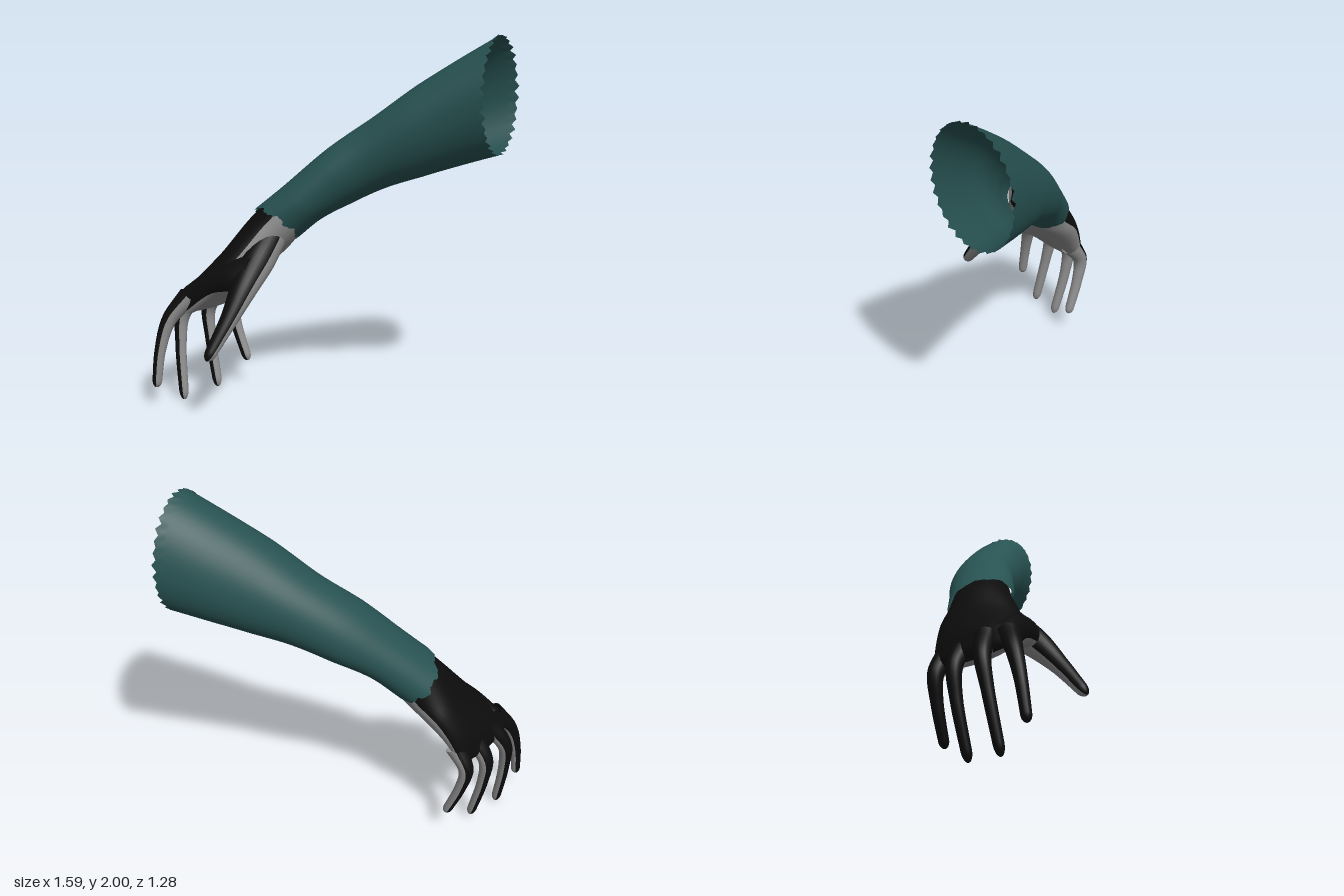
import * as THREE from 'three';

const V = (p) => new THREE.Vector3(...p);
const paint = (color) => new THREE.MeshStandardMaterial({ color, roughness: 0.9, side: THREE.DoubleSide });
const TEAL = paint(0x285252), BLACK = paint(0x0c0c0c), GREY = paint(0x8c8c8c);

// Skin through stations [centre, a, b]: each ring is centre + a cos + b sin.
// "cap" is the share of the length that rounds off to a closed tip.
function loft(stations, { sides = 24, rows = 24, cap = 0, edit } = {}) {
  const [cs, as, bs] = [0, 1, 2].map((k) => new THREE.CatmullRomCurve3(stations.map((s) => V(s[k]))));
  const rings = [];
  for (let i = 0; i <= rows; i++) rings.push([(1 - cap) * i / rows, 1]);
  for (let i = 1; cap && i <= 6; i++) {
    const f = i / 6 * Math.PI / 2;
    rings.push([1 - cap + cap * Math.sin(f), Math.max(Math.cos(f), 0.001)]);
  }
  const pos = [], back = [], palm = [];
  rings.forEach(([u, s], i) => {
    const c = cs.getPoint(u), a = as.getPoint(u), b = bs.getPoint(u);
    for (let j = 0; j < sides; j++) {
      const t = j / sides * Math.PI * 2;
      const p = c.clone().addScaledVector(a, s * Math.cos(t)).addScaledVector(b, s * Math.sin(t));
      if (edit) edit(p, i, j, rings.length - 1);
      pos.push(p.x, p.y, p.z);
      if (i === rings.length - 1) continue;
      const k = i * sides + j, n = i * sides + (j + 1) % sides;
      (j < sides / 2 ? back : palm).push(k, n, k + sides, n, n + sides, k + sides);
    }
  });
  const geometry = new THREE.BufferGeometry();
  geometry.setAttribute('position', new THREE.Float32BufferAttribute(pos, 3));
  geometry.setIndex([...back, ...palm]);
  geometry.computeVertexNormals();
  return { geometry, back, palm };
}

// Black back half and grey palm half sharing the same smooth normals
function twoTone(name, { geometry, back, palm }) {
  const group = new THREE.Group();
  group.name = name;
  for (const [side, index, material] of [['Back', back, BLACK], ['Inside', palm, GREY]]) {
    const half = geometry.clone();
    half.setIndex(index);
    const mesh = new THREE.Mesh(half, material);
    mesh.name = name + side;
    group.add(mesh);
  }
  return group;
}

// Stations for a round finger; "out" points toward the back of the hand
function fingerStations(points, radii, out) {
  const curve = new THREE.CatmullRomCurve3(points.map(V));
  return points.map((p, i) => {
    const t = curve.getTangent(i / (points.length - 1));
    const b = V(out).addScaledVector(t, -V(out).dot(t)).normalize();
    const a = b.clone().cross(t);
    return [p, a.multiplyScalar(radii[i]).toArray(), b.multiplyScalar(radii[i]).toArray()];
  });
}

export function createModel() {
  const model = new THREE.Group();
  model.name = 'glovedArm';

  // Hollow sleeve with a ragged upper rim and an uneven wrist hem
  const sleeve = loft([
    [[0.78, 1.69, -0.41], [0, 0, 0.235], [0, 0.31, 0.02]],
    [[0.59, 1.598, -0.345], [0, 0, 0.224], [0, 0.28, 0.015]],
    [[0.4, 1.498, -0.275], [0, 0, 0.212], [-0.01, 0.243, 0.01]],
    [[0.2, 1.38, -0.205], [0, 0, 0.195], [-0.03, 0.19, 0]],
    [[0.005, 1.25, -0.115], [0.02, 0.02, 0.182], [-0.055, 0.15, 0]],
    [[-0.17, 1.105, -0.02], [0.04, 0.04, 0.163], [-0.1, 0.085, 0]],
    [[-0.3, 0.985, 0.04], [0.06, 0.08, 0.142], [-0.13, 0.055, 0]],
  ], {
    sides: 64, rows: 48,
    edit(p, i, j, last) {
      if (i === 0) p.x += (j % 2 ? 0.009 : -0.011) + 0.004 * Math.sin(j * 2.3);
      if (i === last) p.addScaledVector(V([-0.7, -0.65, 0.3]), 0.012 * Math.sin(j * 0.8) + 0.006 * Math.sin(j * 2.1));
    },
  });
  const sleeveMesh = new THREE.Mesh(sleeve.geometry, TEAL);
  sleeveMesh.name = 'sleeve';
  model.add(sleeveMesh);

  // Palm, from inside the sleeve to the finger roots
  model.add(twoTone('palm', loft([
    [[-0.24, 1.05, 0.015], [0.05, 0.06, 0.13], [-0.1, 0.06, 0]],
    [[-0.32, 0.95, 0.055], [0.05, 0.06, 0.145], [-0.115, 0.06, 0]],
    [[-0.455, 0.785, 0.125], [0.04, 0.01, 0.205], [-0.085, 0.065, 0.02]],
    [[-0.6, 0.625, 0.175], [-0.02, 0, 0.228], [-0.07, 0.045, 0.01]],
    [[-0.68, 0.5, 0.2], [-0.055, 0, 0.235], [-0.045, 0.015, 0.01]],
  ], { sides: 40, rows: 28, cap: 0.08 })));

  // Web of skin between thumb and index finger
  model.add(twoTone('thumbWeb', loft([
    [[-0.27, 0.78, 0.28], [0, -0.08, 0.08], [-0.02, 0.05, 0.05]],
    [[-0.37, 0.75, 0.31], [0, -0.07, 0.075], [-0.03, 0.05, 0.045]],
    [[-0.5, 0.7, 0.325], [0, -0.055, 0.065], [-0.04, 0.045, 0.035]],
    [[-0.65, 0.59, 0.35], [0, -0.06, 0.06], [-0.045, 0.035, 0.03]],
  ], { rows: 16 })));

  // Four fingers: knuckle, middle joint, last joint, tip
  const fingers = {
    indexFinger: [[-0.65, 0.61, 0.37], [-0.735, 0.48, 0.44], [-0.765, 0.32, 0.485], [-0.772, 0.115, 0.517]],
    middleFinger: [[-0.66, 0.61, 0.26], [-0.755, 0.47, 0.29], [-0.755, 0.31, 0.317], [-0.708, 0.005, 0.36]],
    ringFinger: [[-0.62, 0.6, 0.13], [-0.705, 0.47, 0.12], [-0.695, 0.32, 0.127], [-0.625, 0.032, 0.157]],
    littleFinger: [[-0.57, 0.6, 0.005], [-0.64, 0.48, -0.015], [-0.615, 0.35, -0.018], [-0.537, 0.15, -0.014]],
  };
  for (const [name, path] of Object.entries(fingers)) {
    const stations = fingerStations(path, [0.058, 0.041, 0.031, 0.025], [-0.9, 0.2, 0.3]);
    model.add(twoTone(name, loft(stations, { sides: 16, cap: 0.06 })));
  }

  // Thumb with its fleshy base
  const thumbPath = [[-0.27, 0.97, 0.1], [-0.305, 0.83, 0.2], [-0.305, 0.7, 0.35], [-0.315, 0.56, 0.475], [-0.355, 0.37, 0.625]];
  const thumb = fingerStations(thumbPath, [0.08, 0.09, 0.072, 0.047, 0.028], [-0.35, 0.65, 0.65]);
  model.add(twoTone('thumb', loft(thumb, { sides: 24, cap: 0.05 })));

  return model;
}
